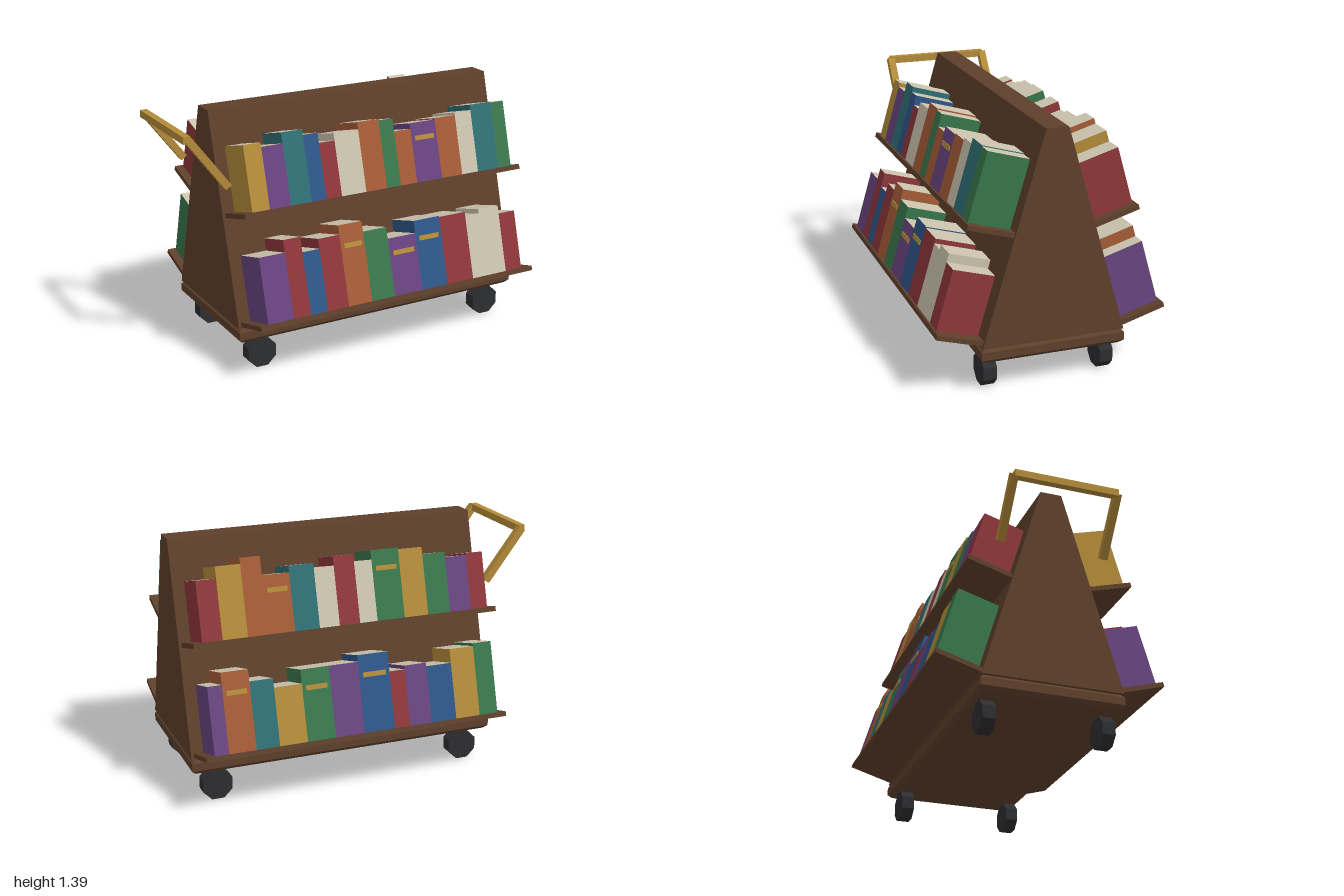
import * as THREE from 'three';

const mat = (name, color) => {
  const m = new THREE.MeshStandardMaterial({ color });
  m.name = name;
  return m;
};
const M = {
  brown: mat('wood brown', 0x5e402b), dark: mat('wheel charcoal', 0x2d2e30),
  gold: mat('gold', 0xb38b39), cream: mat('cream', 0xccc4ae),
  red: mat('red', 0x8e373a), blue: mat('blue', 0x2e5689),
  green: mat('green', 0x39774d), purple: mat('purple', 0x694480),
  orange: mat('orange', 0xa65c37), teal: mat('teal', 0x2f7074),
};

const CENTER = 0.12;                               // cart body is offset by the handle
const TILT = Math.atan2(0.33, 1.13);               // lean of the sloped sides
const SHELF = { width: 1.73, depth: 0.255, thick: 0.026 };

// Each row: left edges of the books, then [colour, height, label?]
const rows = {
  frontUpper: {
    x: [-0.695, -0.594, -0.471, -0.348, -0.26, -0.166, -0.016, 0.115, 0.203, 0.307, 0.47, 0.604, 0.711, 0.85, 0.936],
    books: [['gold', 0.35], ['purple', 0.327], ['teal', 0.385], ['blue', 0.355], ['red', 0.3], ['cream', 0.339], ['orange', 0.377],
      ['green', 0.369], ['orange', 0.297], ['purple', 0.327, 1], ['orange', 0.334], ['cream', 0.347], ['teal', 0.377], ['green', 0.372]],
  },
  frontLower: {
    x: [-0.695, -0.545, -0.444, -0.342, -0.214, -0.07, 0.075, 0.251, 0.417, 0.588, 0.679, 0.813, 0.92],
    books: [['purple', 0.353], ['red', 0.42], ['blue', 0.337], ['red', 0.39], ['orange', 0.44, 1], ['green', 0.382],
      ['purple', 0.317, 1], ['blue', 0.385, 1], ['red', 0.379], ['cream', 0.353], ['cream', 0.379], ['red', 0.332]],
  },
  backUpper: {
    x: [-0.7, -0.6, -0.473, -0.34, -0.2, -0.04, 0.061, 0.178, 0.291, 0.43, 0.58, 0.69, 0.826, 0.936],
    books: [['red', 0.31], ['purple', 0.3], ['green', 0.33], ['gold', 0.37], ['green', 0.38, 1], ['cream', 0.33], ['red', 0.37],
      ['cream', 0.32], ['teal', 0.345], ['orange', 0.31, 1], ['orange', 0.412], ['gold', 0.381], ['red', 0.319]],
  },
  backLower: {
    x: [-0.7, -0.59, -0.446, -0.297, -0.168, -0.078, 0.099, 0.265, 0.425, 0.58, 0.709, 0.858, 0.936],
    books: [['green', 0.4], ['gold', 0.385], ['blue', 0.31], ['purple', 0.33], ['red', 0.31], ['blue', 0.42, 1],
      ['purple', 0.385], ['green', 0.385, 1], ['gold', 0.31], ['teal', 0.36], ['orange', 0.425, 1], ['purple', 0.361]],
  },
};

function add(parent, name, geometry, material, x = 0, y = 0, z = 0) {
  const mesh = new THREE.Mesh(geometry, material);
  mesh.name = name;
  mesh.position.set(x, y, z);
  parent.add(mesh);
  return mesh;
}
const box = (w, h, d) => new THREE.BoxGeometry(w, h, d);

// Cover on the sides and spine, pages on the top and inner face
function addBook(parent, x, width, [color, h, label]) {
  const cover = M[color], inner = 0.01, outer = 0.241;
  add(parent, 'book', box(width, h, outer - inner),
    [cover, cover, M.cream, cover, cover, M.cream],
    x, SHELF.thick + h / 2, (inner + outer) / 2);
  if (label) add(parent, 'spineLabel', box(width * 0.75, 0.026, 0.006), M.gold, x, SHELF.thick + h * 0.74, outer + 0.002);
}

// Tilted shelf with its books; side is 1 for front, -1 for back
function addShelf(parent, name, side, y, row) {
  const facing = new THREE.Group();
  facing.name = name;
  facing.rotation.y = side > 0 ? 0 : Math.PI;
  parent.add(facing);
  const tilted = new THREE.Group();
  tilted.name = 'tiltedShelf';
  tilted.position.set(0, y, 0.06 + (1.387 - y) * Math.tan(TILT));
  tilted.rotation.x = -TILT;
  facing.add(tilted);
  add(tilted, 'shelfBoard', box(SHELF.width, SHELF.thick, SHELF.depth), M.brown,
    side * CENTER, SHELF.thick / 2, SHELF.depth / 2);
  row.books.forEach((book, i) => {
    const a = row.x[i], b = row.x[i + 1];
    addBook(tilted, side * (a + b) / 2, b - a, book);
  });
}

export function createModel() {
  const cart = new THREE.Group();
  cart.name = 'bookCart';

  // Wedge-shaped body
  const wedge = new THREE.Shape([[-0.39, 0.257], [0.39, 0.257], [0.06, 1.387], [-0.06, 1.387]]
    .map(([x, y]) => new THREE.Vector2(x, y)));
  const body = new THREE.ExtrudeGeometry(wedge, { depth: 1.76, bevelEnabled: false });
  body.translate(0, 0, -0.88).rotateY(Math.PI / 2);
  add(cart, 'body', body, M.brown, CENTER);

  // Base slab with chamfered edges
  const c = 0.022, hx = 0.88 - c, hz = 0.395 - c;
  const plan = new THREE.Shape([[-hx, -hz], [hx, -hz], [hx, hz], [-hx, hz]]
    .map(([x, y]) => new THREE.Vector2(x, y)));
  const base = new THREE.ExtrudeGeometry(plan, {
    depth: 0.044, bevelThickness: c, bevelSize: c, bevelSegments: 1,
  });
  base.rotateX(-Math.PI / 2);
  add(cart, 'base', base, M.brown, CENTER, 0.172 + c);

  // Eight-sided wheels with flat bottoms
  const wheel = new THREE.CylinderGeometry(0.0885, 0.0885, 0.073, 8).toNonIndexed();
  wheel.computeVertexNormals();
  wheel.rotateY(Math.PI / 8).rotateX(Math.PI / 2);
  for (const sx of [-1, 1]) for (const sz of [-1, 1])
    add(cart, 'wheel', wheel, M.dark, CENTER + sx * 0.733, 0.082, sz * 0.326);

  // Push handle
  const handle = new THREE.Group();
  handle.name = 'handle';
  cart.add(handle);
  const from = new THREE.Vector2(-0.762, 1.035), to = new THREE.Vector2(-0.978, 1.32);
  const dir = to.clone().sub(from);
  for (const s of [-1, 1]) {
    const arm = add(handle, 'handleArm', box(dir.length(), 0.04, 0.042), M.gold,
      (from.x + to.x) / 2, (from.y + to.y) / 2, s * 0.293);
    arm.rotation.z = dir.angle();
  }
  add(handle, 'handleBar', box(0.04, 0.04, 0.59), M.gold, -0.98, 1.315, 0);

  // Two shelves on each side
  addShelf(cart, 'frontUpperShelf', 1, 0.835, rows.frontUpper);
  addShelf(cart, 'frontLowerShelf', 1, 0.27, rows.frontLower);
  addShelf(cart, 'backUpperShelf', -1, 0.835, rows.backUpper);
  addShelf(cart, 'backLowerShelf', -1, 0.27, rows.backLower);

  return cart;
}
